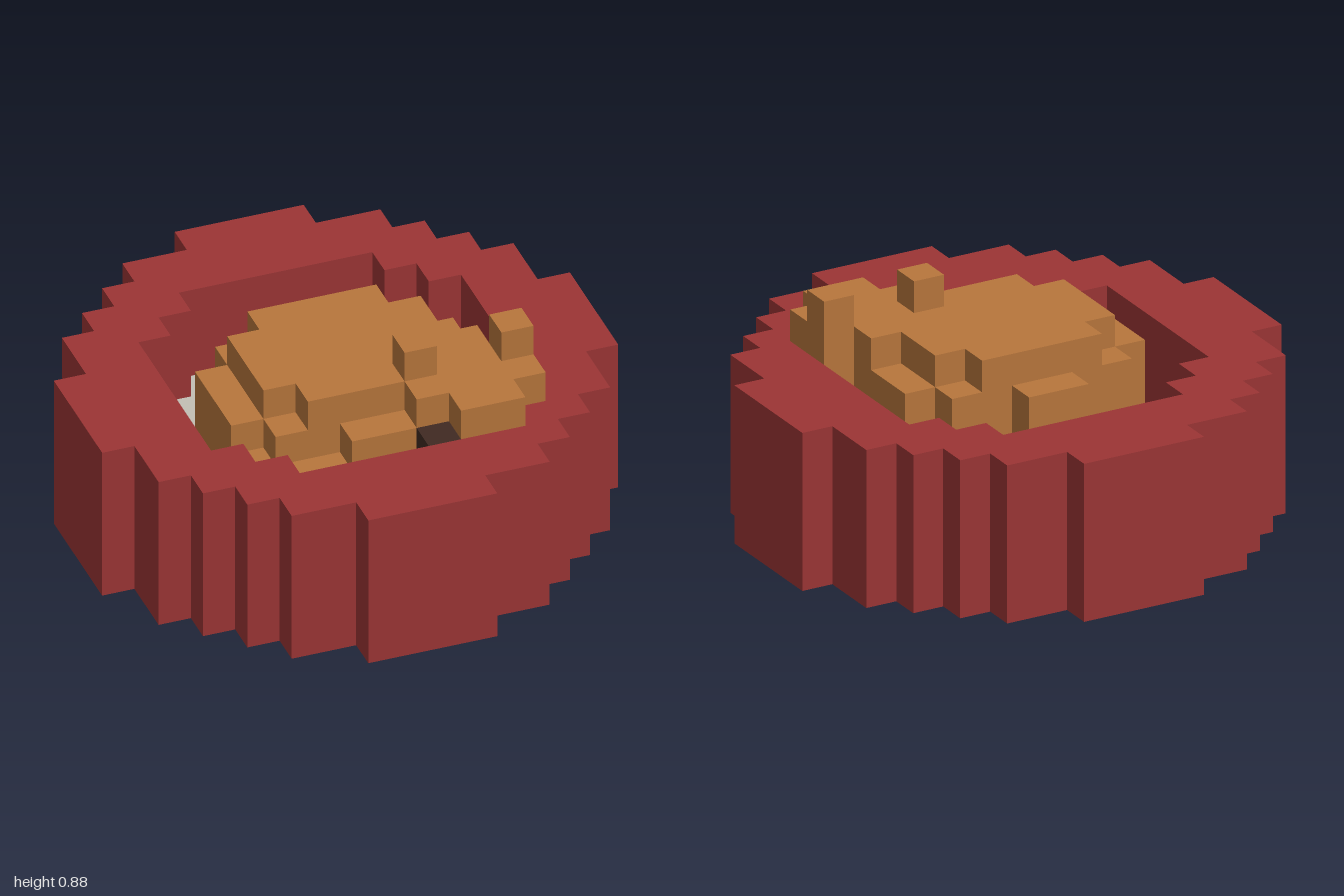
import * as THREE from 'three';

const U = 0.125; // one block

const material = (name, color) => {
  const m = new THREE.MeshStandardMaterial({ color });
  m.name = name;
  return m;
};

// Mirror a stepped quarter outline (right/front corner) into a closed loop
function steppedLoop(quarter) {
  const back = [...quarter].reverse();
  return [
    ...quarter,
    ...back.map(([x, z]) => [-x, z]),
    ...quarter.map(([x, z]) => [-x, -z]),
    ...back.map(([x, z]) => [x, -z]),
  ].map(([x, z]) => new THREE.Vector2(x * U, z * U));
}

function slab(shape, height) {
  const g = new THREE.ExtrudeGeometry(shape, { depth: height * U, bevelEnabled: false });
  return g.rotateX(-Math.PI / 2);
}

export function createModel() {
  const model = new THREE.Group();
  const red = material('bed red', 0x9c3535);
  const grey = material('cushion grey', 0xc3bfb5);
  const brown = material('fur brown', 0xb8763c);
  const dark = material('dark brown', 0x402a22);

  const add = (name, geometry, mat, parent = model) => {
    const mesh = new THREE.Mesh(geometry, mat);
    mesh.name = name;
    parent.add(mesh);
  };

  // Round stepped bed wall with a cushion filling its lower part
  const outer = steppedLoop([[8, 2], [7, 2], [7, 4], [6, 4], [6, 5], [5, 5], [5, 6], [4, 6], [4, 7], [2, 7], [2, 8]]);
  const inner = steppedLoop([[5, 3], [4, 3], [4, 4], [3, 4], [3, 5]]);
  const wall = new THREE.Shape(outer);
  wall.holes.push(new THREE.Path(inner));
  add('bedWall', slab(wall, 5), red);
  add('cushion', slab(new THREE.Shape(inner), 2), grey);

  // Sleeping animal: each box is given by its block limits
  const cat = new THREE.Group();
  cat.name = 'sleepingCat';
  model.add(cat);
  const block = (name, x0, x1, y0, y1, z0, z1, mat = brown) => {
    const g = new THREE.BoxGeometry((x1 - x0) * U, (y1 - y0) * U, (z1 - z0) * U);
    g.translate((x0 + x1) * U / 2, (y0 + y1) * U / 2, (z0 + z1) * U / 2);
    add(name, g, mat, cat);
  };

  // Curled body, wide below and narrower on top
  block('bodySides', -4, 4, 2, 5, -1, 2);
  block('bodyBack', -3, 3, 2, 5, -2, -1);
  block('bodyFront', -3, 1, 2, 5, 2, 3);
  block('rump', -1, 1, 2, 5, -3, -2);
  block('backTop', -3, 3, 5, 6, -1, 2);
  block('backTopRear', -2, 2, 5, 6, -2, -1);
  block('backTopFront', -2, 1, 5, 6, 2, 3);
  block('neck', 3, 4, 5, 6, 1, 2);

  // Head with muzzle, nose and ears
  block('head', 1, 5, 2, 6, 2, 4);
  block('muzzle', 2, 4, 4, 6, 4, 5);
  block('nose', 1, 2, 4, 5, 4, 5, dark);
  for (const x of [1, 4]) block('ear', x, x + 1, 6, 7, 2, 3);

  // Paw and the tail wrapped around the front
  block('paw', -1, 1, 2, 5, 3, 4);
  block('tailBase', -4, -3, 2, 4, 2, 3);
  block('tail', -4, -1, 2, 4, 3, 4);
  block('tailTip', -2, 0, 2, 4, 4, 5);

  return model;
}
